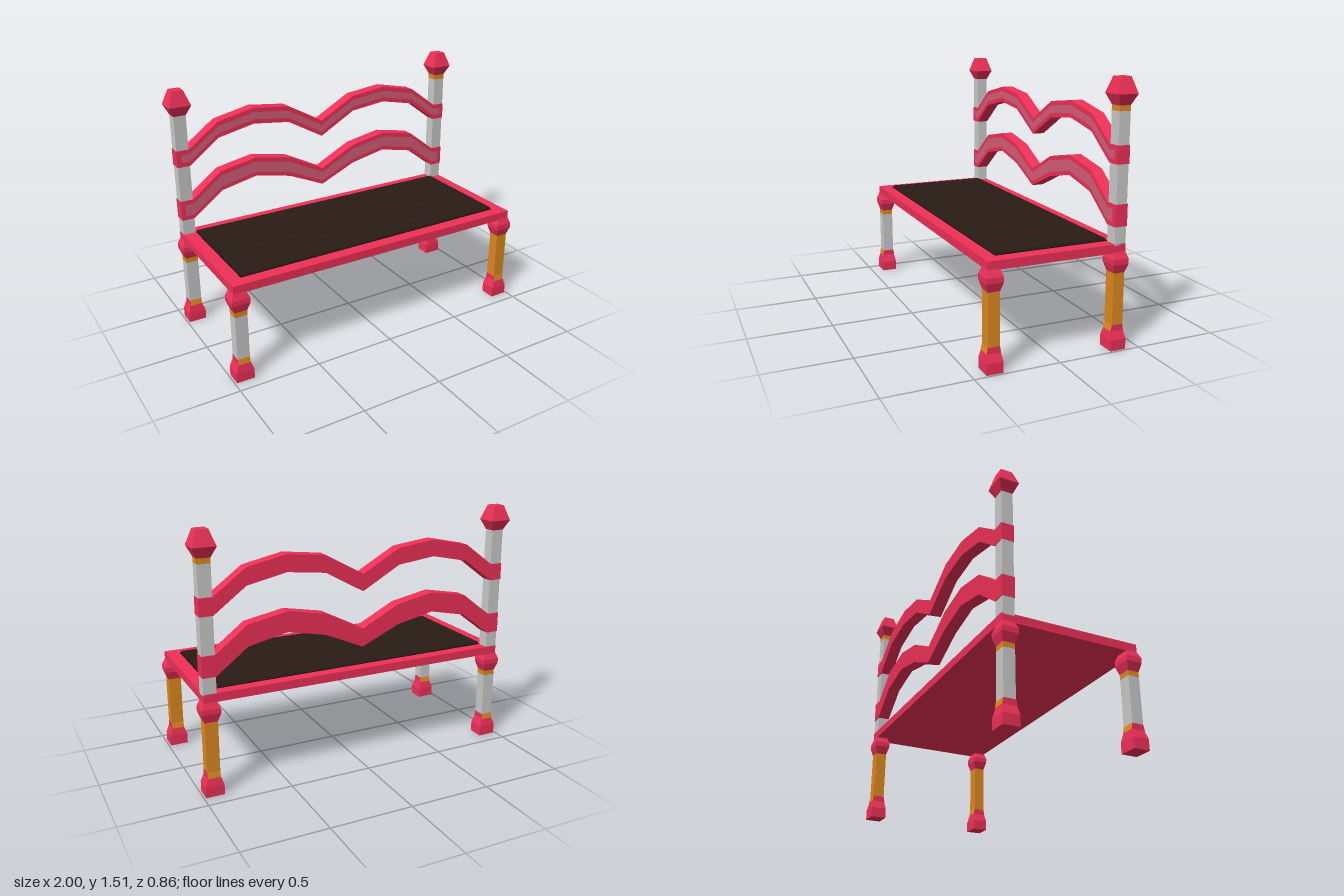
import * as THREE from 'three';

const mat = (color) => new THREE.MeshStandardMaterial({ color, flatShading: true });

export function createModel() {
  const pink = mat(0xf03058), rose = mat(0xd45f79), gold = mat(0xe08a20);
  const grey = mat(0xcccccc), wood = mat(0x2a1b15), dark = mat(0x120c08);
  const model = new THREE.Group();
  model.name = 'bench';

  const add = (parent, name, geometry, material) => {
    const mesh = new THREE.Mesh(geometry, material);
    mesh.name = name;
    parent.add(mesh);
    return mesh;
  };

  // A box whose bottom and top have their own half widths [x, z]
  const taper = (parent, name, material, y0, [x0, z0], y1, [x1, z1]) => {
    const g = new THREE.BoxGeometry(2, 1, 2);
    const p = g.attributes.position;
    for (let i = 0; i < p.count; i++) {
      const top = p.getY(i) > 0;
      p.setXYZ(i, p.getX(i) * (top ? x1 : x0), top ? y1 : y0, p.getZ(i) * (top ? z1 : z0));
    }
    g.computeVertexNormals();
    return add(parent, name, g, material);
  };

  const slim = [0.038, 0.034], wide = [0.055, 0.048];

  // Legs: flared foot, shaft and knee; the left pair is gilded all the way
  for (const side of [-1, 1]) {
    for (const z of [0.378, -0.37]) {
      const leg = new THREE.Group();
      leg.name = (z > 0 ? 'front' : 'back') + (side > 0 ? 'LeftLeg' : 'RightLeg');
      leg.position.set(side * 0.933, 0, z);
      model.add(leg);
      taper(leg, 'foot', pink, 0, wide, 0.062, wide);
      taper(leg, 'footTaper', pink, 0.062, wide, 0.11, [0.038, 0.04]);
      taper(leg, 'ankle', pink, 0.11, [0.038, 0.04], 0.145, slim);
      taper(leg, 'ankleBand', gold, 0.11, [0.037, 0.042], 0.145, [0.037, 0.036]);
      taper(leg, 'shaft', side > 0 ? gold : grey, 0.145, slim, 0.415, slim);
      taper(leg, 'upperBand', gold, 0.415, slim, 0.445, slim);
      taper(leg, 'kneeFlare', pink, 0.445, slim, 0.495, wide);
      taper(leg, 'knee', pink, 0.495, wide, 0.525, wide);
      taper(leg, 'kneeTop', pink, 0.525, wide, 0.565, slim);
    }

    // Back post with its finial
    const post = new THREE.Group();
    post.name = side > 0 ? 'leftPost' : 'rightPost';
    post.position.set(side * 0.933, 0, -0.37);
    model.add(post);
    taper(post, 'shaft', grey, 0.6, slim, 1.33, slim);
    taper(post, 'neck', side > 0 ? gold : grey, 1.33, slim, 1.36, slim);
    taper(post, 'finialBase', pink, 1.36, slim, 1.42, [0.067, 0.06]);
    taper(post, 'finialTop', pink, 1.42, [0.067, 0.06], 1.51, [0.034, 0.034]);
  }

  // Seat frame, dark bed and four chamfered slats
  taper(model, 'seatFrame', pink, 0.56, [0.971, 0.409], 0.61, [0.971, 0.409]).position.z = 0.003;
  taper(model, 'slatBed', dark, 0.6, [0.892, 0.337], 0.613, [0.892, 0.337]);
  const edges = [0.338, 0.188, 0.004, -0.182, -0.336];
  for (let i = 0; i < 4; i++) {
    const half = (edges[i] - edges[i + 1]) / 2;
    taper(model, 'slat', wood, 0.605, [0.891, half], 0.625, [0.885, half - 0.008])
      .position.z = (edges[i] + edges[i + 1]) / 2;
  }

  // Backrest rails: double-humped bands with an inlaid front strip
  const xs = [0.973, 0.895, 0.705, 0.47, 0.235, 0];
  const band = (tops, bottoms, inset, endX) => {
    const x = [endX, ...xs.slice(1)];
    const top = x.map((v, i) => [-v, tops[i] - inset]);
    const low = x.map((v, i) => [-v, bottoms[i] + inset]);
    const mirror = (a) => a.slice(0, -1).reverse().map(([u, v]) => [-u, v]);
    const outline = [...low, ...mirror(low), ...[...top, ...mirror(top)].reverse()];
    return new THREE.Shape(outline.map(([u, v]) => new THREE.Vector2(u, v)));
  };
  const rails = [
    ['lowerRail', [0.83, 0.83, 0.975, 1.02, 0.975, 0.855], [0.706, 0.706, 0.85, 0.9, 0.85, 0.745], 0.026],
    ['upperRail', [1.15, 1.15, 1.29, 1.34, 1.312, 1.182], [1.048, 1.048, 1.19, 1.24, 1.212, 1.08], 0.027],
  ];
  for (const [name, tops, bottoms, inset] of rails) {
    const rail = new THREE.Group();
    rail.name = name;
    rail.position.z = -0.408;
    model.add(rail);
    add(rail, 'band', new THREE.ExtrudeGeometry(band(tops, bottoms, 0, xs[0]),
      { depth: 0.076, bevelEnabled: false }), pink);
    add(rail, 'inlay', new THREE.ShapeGeometry(band(tops, bottoms, inset, 0.947)), rose)
      .position.z = 0.078;
  }
  return model;
}
